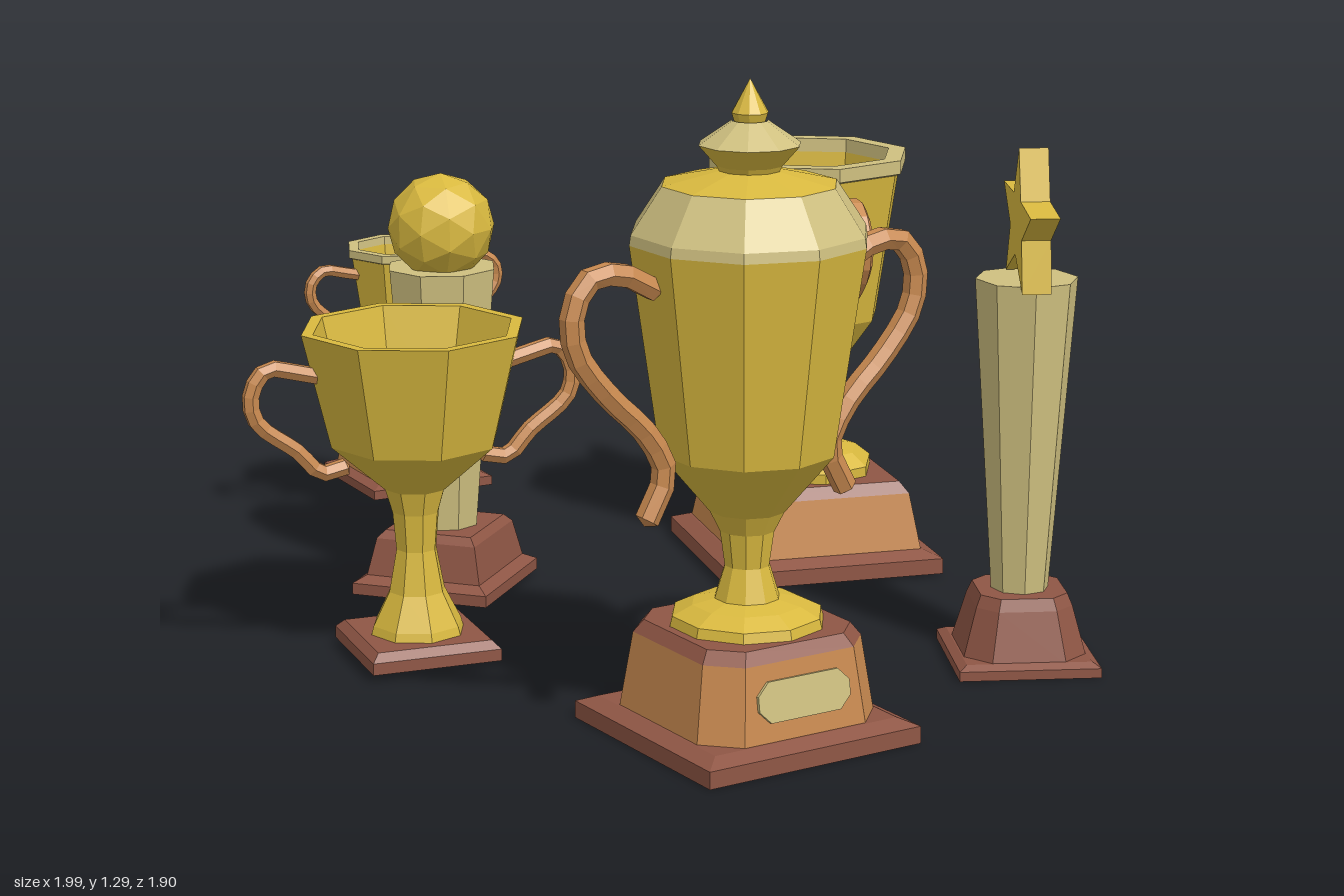
import * as THREE from 'three';

const mat = (name, color) => {
  const m = new THREE.MeshStandardMaterial({ color });
  m.name = name;
  return m;
};

export function createModel() {
  const gold = mat('gold', 0xd9b93f);
  const pale = mat('pale gold', 0xcfc080);
  const wood = mat('light wood', 0xc98a50);
  const red = mat('red brown wood', 0x8f5645);

  const model = new THREE.Group();
  model.name = 'trophies';

  // Faceted mesh: every face keeps its own normal
  function add(parent, name, geometry, material) {
    const g = geometry.index ? geometry.toNonIndexed() : geometry;
    g.computeVertexNormals();
    const mesh = new THREE.Mesh(g, material);
    mesh.name = name;
    parent.add(mesh);
    return mesh;
  }

  const points = (list) => list.map(([r, y]) => new THREE.Vector2(r, y));
  const lathe = (list, sides = 8) => new THREE.LatheGeometry(points(list), sides);

  // Square block from [half width, y] steps, optionally with cut corners
  function block(list, keep = 1) {
    if (keep === 1) {
      const p = list.map(([h, y]) => [h * Math.SQRT2, y]);
      return new THREE.LatheGeometry(points(p), 4, Math.PI / 4);
    }
    const p = list.map(([h, y]) => [h / Math.cos(Math.PI / 8), y]);
    const g = new THREE.LatheGeometry(points(p), 8, Math.PI / 8);
    const pos = g.attributes.position;
    for (let i = 0; i < pos.count; i++) {
      const x = pos.getX(i), z = pos.getZ(i);
      if (Math.abs(x) < Math.abs(z)) pos.setX(i, Math.sign(x) * Math.abs(z) * keep);
      else pos.setZ(i, Math.sign(z) * Math.abs(x) * keep);
    }
    return g;
  }

  // Two mirrored bent-rod handles with closed ends
  function handles(parent, path, radius) {
    for (const side of [1, -1]) {
      const curve = new THREE.CatmullRomCurve3(
        path.map(([x, y]) => new THREE.Vector3(side * x, y, 0)), false, 'centripetal');
      const segments = 18, sides = 6;
      const g = new THREE.TubeGeometry(curve, segments, radius, sides, false);
      for (const end of [0, segments]) {
        const c = curve.getPointAt(end / segments);
        const ring = end ? end - 0.3 : 0.3;
        const shift = curve.getPointAt(ring / segments).sub(c);
        // push the second ring outward to blunt the tip
        const inner = end ? end - 1 : 1;
        const from = curve.getPointAt(inner / segments);
        for (let k = 0; k <= sides; k++) {
          const a = end * (sides + 1) + k, b = inner * (sides + 1) + k;
          const p = g.attributes.position;
          p.setXYZ(a, c.x, c.y, c.z);
          p.setXYZ(b, p.getX(b) + c.x + shift.x - from.x, p.getY(b) + c.y + shift.y - from.y, p.getZ(b));
        }
      }
      add(parent, side > 0 ? 'leftHandle' : 'rightHandle', g, wood);
    }
  }

  // Thin name plate with cut corners, leaning with the base
  function plaque(parent, w, h, y, z, lean) {
    const c = 0.025, x = w / 2, t = h / 2;
    const s = new THREE.Shape(points([
      [-x + c, -t], [x - c, -t], [x, -t + c], [x, t - c],
      [x - c, t], [-x + c, t], [-x, t - c], [-x, -t + c]]));
    const g = new THREE.ExtrudeGeometry(s, { depth: 0.007, bevelEnabled: false });
    const m = add(parent, 'plaque', g, pale);
    m.position.set(0, y, z);
    m.rotation.x = -lean;
  }

  function trophy(name, x, y, z, turn, scale = 1) {
    const g = new THREE.Group();
    g.name = name;
    g.position.set(x, y, z);
    g.rotation.y = turn;
    g.scale.setScalar(scale);
    model.add(g);
    return g;
  }

  // Stepped base: red foot and cap with a lighter wood block between
  function steppedBase(g, half, top, keep, bottom) {
    const k = half / 0.25;
    add(g, 'baseFoot', block([[half, 0], [half, 0.035], [0.215 * k, 0.05], [0, 0.05]]), red);
    add(g, 'baseUnderside', block([[0, 0], [half, 0]]), bottom);
    add(g, 'baseBlock', block([[0.21 * k, 0.05], [0.188 * k, top - 0.025]], keep), wood);
    add(g, 'baseCap', block([[0.188 * k, top - 0.025], [0.17 * k, top], [0, top]], keep), red);
    plaque(g, 0.21, 0.08, 0.055 + (top - 0.03) / 2 - 0.025, 0.2 * k - 0.001, 0.16);
  }

  // Open two-handled cups, one large and one small
  function openCup(name, x, y, z, turn, scale) {
    const g = trophy(name, x, y, z, turn, scale);
    steppedBase(g, 0.248, 0.2, 1, wood);
    add(g, 'cupFoot', lathe([[0.155, 0.2], [0.155, 0.222], [0.12, 0.25], [0.065, 0.26],
      [0.045, 0.32], [0.06, 0.4], [0.075, 0.437]]), gold);
    add(g, 'bowl', lathe([[0.075, 0.437], [0.165, 0.56], [0.217, 0.895]]), gold);
    add(g, 'rim', lathe([[0.217, 0.895], [0.23, 0.9], [0.23, 0.93], [0.19, 0.93], [0.188, 0.9]]), pale);
    add(g, 'bowlInside', lathe([[0.188, 0.9], [0.145, 0.57], [0.04, 0.46], [0, 0.46]]), gold);
    handles(g, [[0.18, 0.83], [0.25, 0.845], [0.34, 0.86], [0.39, 0.81], [0.385, 0.74],
      [0.29, 0.65], [0.23, 0.58], [0.165, 0.57]], 0.023);
  }
  openCup('tallCup', 0.163, 0.005, -0.607, 2.165, 1);
  openCup('smallCup', -0.79, 0.115, -0.54, -2.33, 0.6);

  // Lidded cup
  const lidded = trophy('liddedCup', 0.4, 0, 0.6, 0.89);
  steppedBase(lidded, 0.244, 0.225, 0.68, red);
  add(lidded, 'cupFoot', lathe([[0.155, 0.225], [0.15, 0.245], [0.11, 0.265], [0.065, 0.275],
    [0.045, 0.34], [0.055, 0.41], [0.075, 0.45]], 10), gold);
  add(lidded, 'bowl', lathe([[0.075, 0.45], [0.175, 0.57], [0.235, 0.98]], 10), gold);
  add(lidded, 'lidEdge', lathe([[0.235, 0.98], [0.232, 1.0], [0.172, 1.09]], 10), pale);
  add(lidded, 'lidTop', lathe([[0.172, 1.09], [0.06, 1.115], [0.065, 1.125], [0.1, 1.165]], 10), gold);
  add(lidded, 'knobTop', lathe([[0.1, 1.165], [0.035, 1.21]], 10), pale);
  add(lidded, 'finial', lathe([[0.028, 1.2], [0.036, 1.225], [0, 1.29]], 10), gold);
  handles(lidded, [[0.2, 0.9], [0.27, 0.94], [0.35, 0.945], [0.39, 0.89], [0.385, 0.81],
    [0.32, 0.72], [0.23, 0.63], [0.19, 0.55], [0.235, 0.45]], 0.024);

  // Wide cup on a low base
  const wide = trophy('wideCup', -0.388, 0.015, 0.373, 0.697);
  add(wide, 'base', block([[0, 0], [0.138, 0], [0.138, 0.025], [0.122, 0.042], [0, 0.042]]), red);
  add(wide, 'stem', lathe([[0.1, 0.042], [0.095, 0.06], [0.06, 0.13], [0.043, 0.22],
    [0.05, 0.3], [0.065, 0.35]]), gold);
  add(wide, 'bowl', lathe([[0.065, 0.35], [0.178, 0.45], [0.237, 0.69], [0.212, 0.69],
    [0.155, 0.46], [0.04, 0.37], [0, 0.37]]), gold);
  handles(wide, [[0.19, 0.6], [0.25, 0.615], [0.31, 0.625], [0.343, 0.58], [0.335, 0.52],
    [0.25, 0.45], [0.2, 0.4], [0.14, 0.41]], 0.018);

  // Ball on a tapered column
  const ball = trophy('ballTrophy', -0.515, 0.015, -0.096, 0);
  add(ball, 'base', block([[0.157, 0], [0.157, 0.025], [0.132, 0.04], [0.115, 0.12],
    [0.1, 0.137], [0, 0.137]]), red);
  add(ball, 'baseUnderside', block([[0, 0], [0.157, 0]]), wood);
  add(ball, 'column', lathe([[0.075, 0.137], [0.122, 0.715], [0, 0.715]]), pale);
  const sphere = add(ball, 'ball', new THREE.IcosahedronGeometry(0.117, 1), gold);
  sphere.position.y = 0.803;

  // Star on a tapered column
  const star = trophy('starTrophy', 0.8, 0, -0.018, -1.158);
  add(star, 'base', block([[0.147, 0], [0.147, 0.02]]), red);
  add(star, 'baseUnderside', block([[0, 0], [0.147, 0]]), red);
  add(star, 'baseStep', block([[0.147, 0.02], [0.13, 0.03], [0, 0.03]]), red);
  add(star, 'baseBlock', block([[0.128, 0.025], [0.1, 0.13], [0.09, 0.155], [0, 0.155]], 0.6), red);
  add(star, 'column', lathe([[0.06, 0.155], [0.106, 0.81], [0, 0.81]]), pale);
  const tips = [];
  for (let i = 0; i < 10; i++) {
    const r = i % 2 ? 0.066 : 0.155, a = Math.PI / 2 + i * Math.PI / 5;
    tips.push([r * Math.cos(a), r * Math.sin(a)]);
  }
  const starShape = new THREE.ExtrudeGeometry(new THREE.Shape(points(tips)),
    { depth: 0.06, bevelEnabled: false }).translate(0, 0, -0.03);
  const top = add(star, 'star', starShape, gold);
  top.position.set(0.03, 0.93, 0);
  top.rotation.z = -0.08;

  return model;
}
